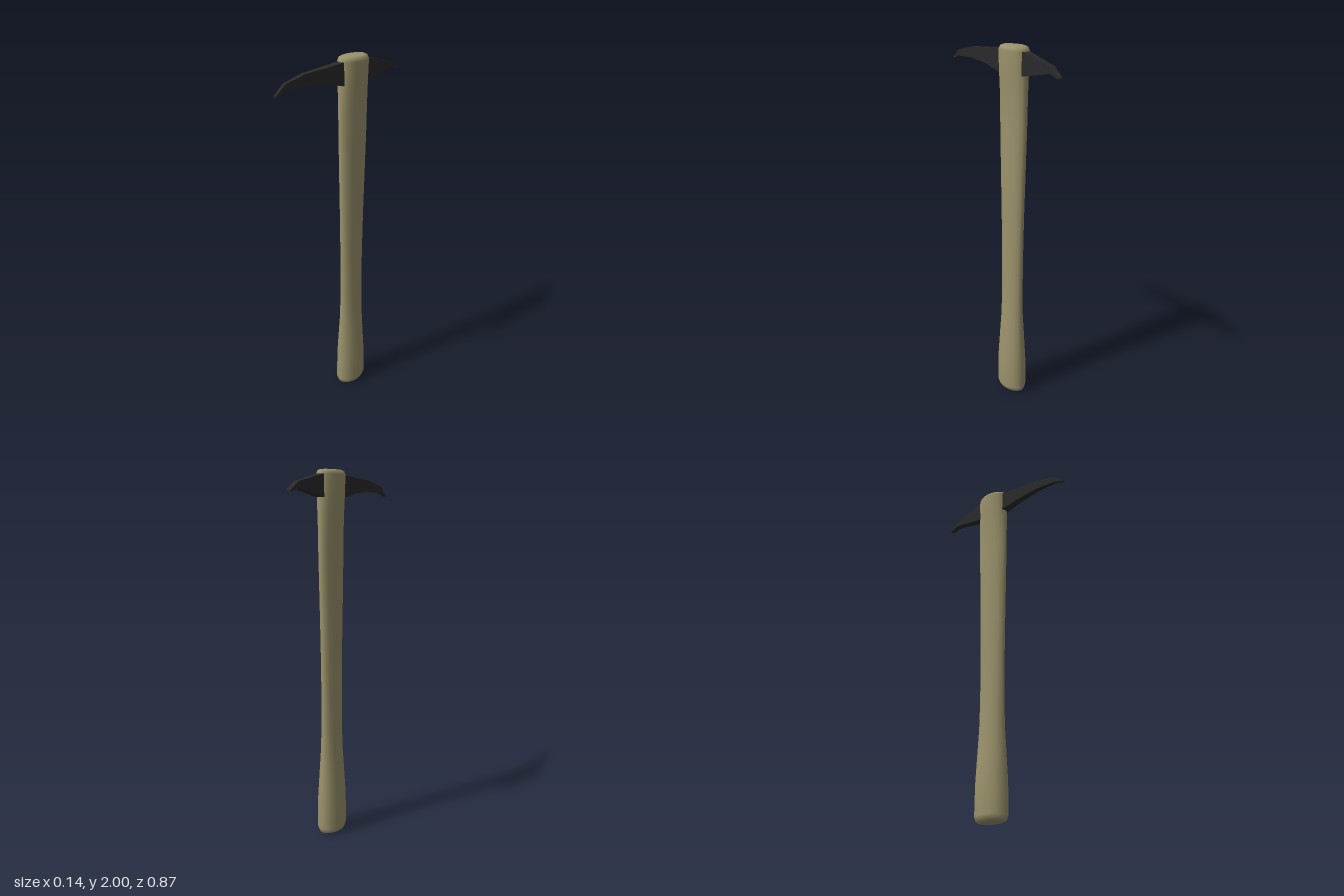
import * as THREE from 'three';
import { mergeVertices } from 'three/addons/utils/BufferGeometryUtils.js';

// Oval handle: a lathe whose rings get their own width, depth and centre
function makeHandle() {
  // [y, half width x, half depth z, centre z]
  const rings = [
    [0, 0, 0, -0.088], [0, 0.042, 0.07, -0.088], [0.008, 0.058, 0.088, -0.088],
    [0.035, 0.069, 0.098, -0.088], [0.2, 0.067, 0.096, -0.088], [0.35, 0.057, 0.088, -0.088],
    [0.5, 0.046, 0.08, -0.088], [0.65, 0.042, 0.078, -0.088], [0.85, 0.04, 0.079, -0.088],
    [1.1, 0.041, 0.083, -0.088], [1.4, 0.043, 0.091, -0.089], [1.6, 0.044, 0.096, -0.09],
    [1.74, 0.047, 0.097, -0.09], [1.86, 0.056, 0.097, -0.09], [1.975, 0.063, 0.097, -0.09],
    [1.993, 0.056, 0.09, -0.09], [2, 0.042, 0.074, -0.09], [2, 0, 0, -0.09],
  ];
  const geo = new THREE.LatheGeometry(rings.map(([y, w]) => new THREE.Vector2(w ? 1 : 0, y)), 16);
  const pos = geo.attributes.position;
  for (let i = 0; i < pos.count; i++) {
    const [y, w, d, cz] = rings[i % rings.length];
    pos.setXYZ(i, pos.getX(i) * w, y, cz + pos.getZ(i) * d);
  }
  geo.deleteAttribute('uv');
  geo.deleteAttribute('normal');
  const merged = mergeVertices(geo);
  merged.computeVertexNormals();
  return new THREE.Mesh(merged, new THREE.MeshStandardMaterial({ color: 0x9c936c }));
}

// Pick head: a segmented box reshaped along z into two curved, tapering spikes
function makeHead() {
  // [z, bottom y, top y, half width], front tip to back tip
  const sections = [
    [0.428, 1.878, 1.886, 0.008], [0.37, 1.898, 1.932, 0.01], [0.25, 1.902, 1.959, 0.014],
    [0.12, 1.888, 1.967, 0.019], [0, 1.86, 1.976, 0.024], [-0.185, 1.86, 1.976, 0.024],
    [-0.37, 1.896, 1.93, 0.016], [-0.428, 1.878, 1.886, 0.014],
  ];
  const last = sections.length - 1;
  const geo = new THREE.BoxGeometry(2, 1, 1, 2, 1, last);
  const pos = geo.attributes.position;
  for (let i = 0; i < pos.count; i++) {
    const k = Math.round((0.5 - pos.getZ(i)) * last);
    const [z, low, high, w] = sections[k];
    const x = pos.getX(i);
    // the middle of each tip stands slightly proud
    const point = Math.abs(x) < 0.1 && (k === 0 || k === last) ? Math.sign(z) * 0.007 : 0;
    pos.setXYZ(i, x * w, pos.getY(i) < 0 ? low : high, z + point);
  }
  const flat = geo.toNonIndexed();
  flat.computeVertexNormals();
  return new THREE.Mesh(flat, new THREE.MeshStandardMaterial({ color: 0x2a2a2a, flatShading: true }));
}

export function createModel() {
  const group = new THREE.Group();
  group.name = 'pickaxe';
  const handle = makeHandle();
  handle.name = 'handle';
  const head = makeHead();
  head.name = 'pickHead';
  group.add(handle, head);
  return group;
}
